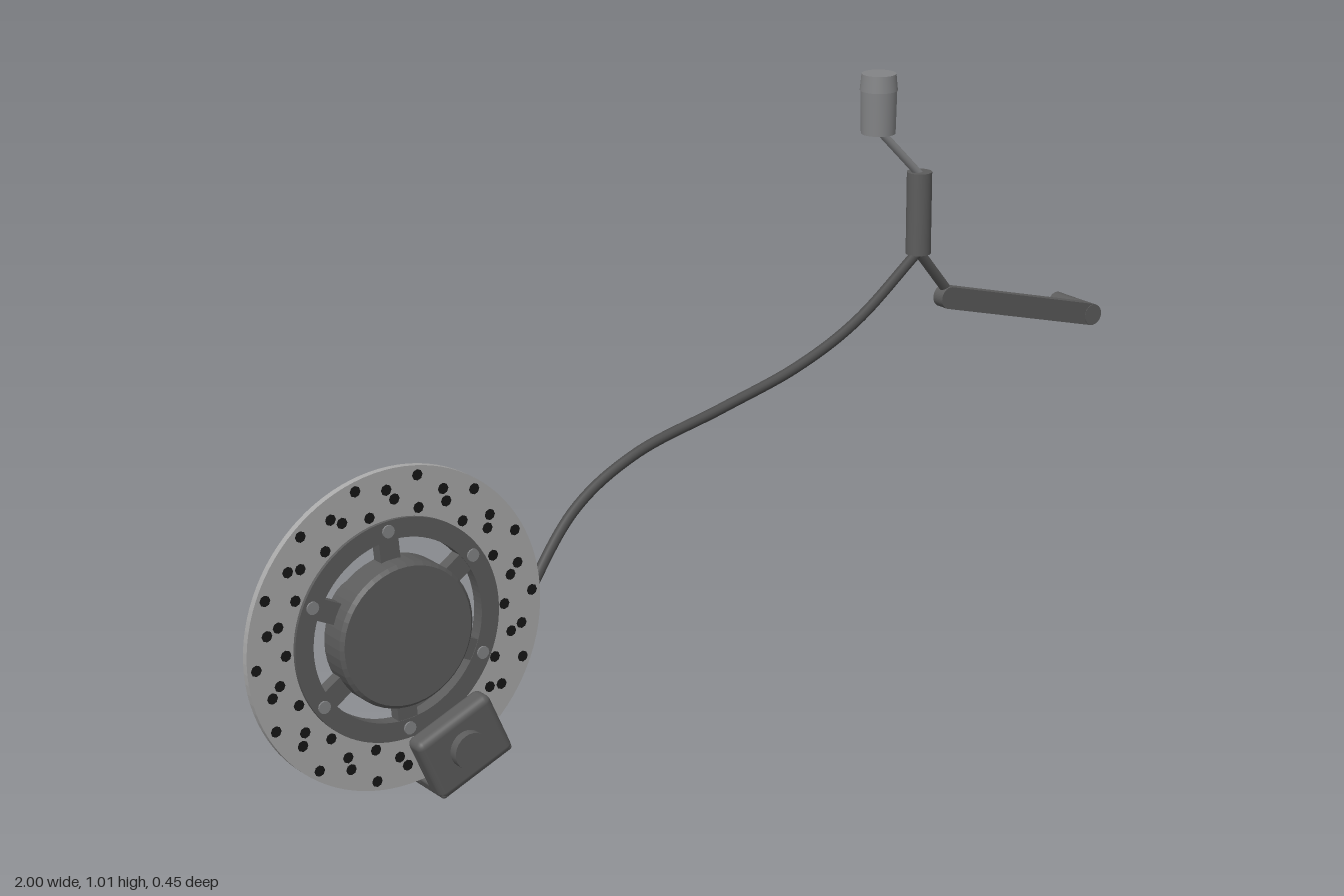
import * as THREE from 'three';
import { RoundedBoxGeometry } from 'three/addons/geometries/RoundedBoxGeometry.js';

const mat = (name, color) => {
  const m = new THREE.MeshStandardMaterial({ color });
  m.name = name;
  return m;
};
const V = (x, y, z) => new THREE.Vector3(x, y, z);

export function createModel() {
  const rotorGrey = mat('rotorGrey', 0xa9a9a9);
  const darkMetal = mat('darkMetal', 0x5c5c5c);
  const rubber = mat('rubber', 0x4c4c4c);
  const reservoirGrey = mat('reservoirGrey', 0x838486);
  const holeBlack = mat('holeBlack', 0x161616);

  const model = new THREE.Group();
  model.name = 'discBrake';

  const add = (parent, name, geo, material, x = 0, y = 0, z = 0) => {
    const m = new THREE.Mesh(geo, material);
    m.name = name;
    m.position.set(x, y, z);
    parent.add(m);
    return m;
  };

  // Cylinder lying along z
  const discGeo = (r, depth, seg = 40) =>
    new THREE.CylinderGeometry(r, r, depth, seg).rotateX(Math.PI / 2);

  // Flat annulus centred on z = 0
  const annulus = (outer, inner, depth) => {
    const s = new THREE.Shape().absarc(0, 0, outer, 0, Math.PI * 2, false);
    s.holes.push(new THREE.Path().absarc(0, 0, inner, 0, Math.PI * 2, true));
    return new THREE.ExtrudeGeometry(s, { depth, bevelEnabled: false, curveSegments: 48 })
      .translate(0, 0, -depth / 2);
  };

  // Flat bar with round ends, running between two points and facing +z
  const bar = (name, a, b, width, depth, material) => {
    const dir = b.clone().sub(a), len = dir.length(), r = width / 2;
    const s = new THREE.Shape();
    s.absarc(len, 0, r, -Math.PI / 2, Math.PI / 2, false);
    s.absarc(0, 0, r, Math.PI / 2, Math.PI * 1.5, false);
    s.closePath();
    const geo = new THREE.ExtrudeGeometry(s, { depth, bevelEnabled: false, curveSegments: 12 })
      .translate(0, 0, -depth / 2);
    const xAxis = dir.normalize();
    const yAxis = V(0, 0, 1).cross(xAxis).normalize();
    const zAxis = xAxis.clone().cross(yAxis);
    const m = add(model, name, geo, material, a.x, a.y, a.z);
    m.quaternion.setFromRotationMatrix(new THREE.Matrix4().makeBasis(xAxis, yAxis, zAxis));
    return m;
  };

  const tube = (name, points, radius, material, seg = 8) =>
    add(model, name, new THREE.TubeGeometry(new THREE.CatmullRomCurve3(points), seg, radius, 12), material);

  // Rotor with drilled holes in swept rows
  const rotor = new THREE.Group();
  rotor.name = 'rotor';
  rotor.position.set(-0.727, 0.295, 0.157);
  model.add(rotor);
  add(rotor, 'rotorDisc', annulus(0.274, 0.165, 0.012), rotorGrey);
  const rows = 14;
  for (let i = 0; i < rows; i++) {
    for (let j = 0; j < 4; j++) {
      const a = (i / rows) * Math.PI * 2 + j * 0.14 + (j % 2) * 0.08;
      const r = 0.204 + j * 0.018;
      add(rotor, 'drillHole', discGeo(0.0095, 0.014, 8), holeBlack, Math.cos(a) * r, Math.sin(a) * r, 0);
    }
  }

  // Carrier ring, spokes, rivets and hub
  add(rotor, 'carrierRing', annulus(0.19, 0.157, 0.024), darkMetal);
  for (let i = 0; i < 6; i++) {
    const a = (i / 6) * Math.PI * 2 + 1.66;
    const spoke = add(rotor, 'carrierSpoke', new THREE.BoxGeometry(0.06, 0.036, 0.022), darkMetal,
      Math.cos(a) * 0.138, Math.sin(a) * 0.138, 0);
    spoke.rotation.z = a;
    add(rotor, 'carrierRivet', discGeo(0.011, 0.03, 12), reservoirGrey,
      Math.cos(a) * 0.173, Math.sin(a) * 0.173, 0);
  }
  const hubProfile = [[0, -0.012], [0.124, -0.012], [0.124, 0.036], [0.118, 0.042], [0, 0.042]]
    .map(([r, h]) => new THREE.Vector2(r, h));
  const hubGeo = new THREE.LatheGeometry(hubProfile, 48).rotateX(Math.PI / 2).toNonIndexed();
  hubGeo.computeVertexNormals();
  add(rotor, 'hub', hubGeo, darkMetal);

  // Caliper: two halves straddling the rotor, joined by a bridge
  const caliper = new THREE.Group();
  caliper.name = 'caliper';
  caliper.position.set(-0.628, 0.08, 0.157);
  caliper.rotation.z = 0.42;
  model.add(caliper);
  for (const side of [-1, 1]) {
    add(caliper, 'caliperHalf', new RoundedBoxGeometry(0.152, 0.118, 0.043, 3, 0.013), darkMetal, 0, 0, side * 0.031);
  }
  add(caliper, 'caliperBridge', new RoundedBoxGeometry(0.148, 0.022, 0.1, 2, 0.006), darkMetal, 0, -0.047, 0);
  add(caliper, 'pistonCap', discGeo(0.032, 0.02, 24), darkMetal, 0, 0, 0.059);

  // Swing arm and its pivot behind the rotor
  add(model, 'armPivot', discGeo(0.059, 0.048, 32), darkMetal, -0.727, 0.293, 0.068);
  bar('swingArm', V(-0.727, 0.293, 0.068), V(-0.615, 0.1, 0.092), 0.088, 0.034, darkMetal);

  // Stay bar beside the rotor
  bar('stayBar', V(-0.435, 0.325, 0.048), V(-0.58, 0.075, 0.092), 0.04, 0.018, darkMetal);

  // Main brake hose
  tube('brakeHose', [
    V(-0.6, 0.05, 0.098), V(-0.537, 0.1, 0.088), V(-0.42, 0.215, 0.042), V(-0.26, 0.352, -0.025),
    V(-0.126, 0.42, -0.041), V(0.06, 0.47, -0.041), V(0.22, 0.518, -0.037),
    V(0.355, 0.575, -0.046), V(0.527, 0.672, -0.083),
  ], 0.0095, rubber, 80);

  // Master cylinder with its two short pipes
  add(model, 'masterCylinder', new THREE.CylinderGeometry(0.023, 0.023, 0.152, 24), darkMetal, 0.526, 0.744, -0.083);
  tube('reservoirPipe', [V(0.526, 0.815, -0.083), V(0.437, 0.908, -0.09)], 0.0075, reservoirGrey);
  tube('pedalRod', [V(0.526, 0.672, -0.083), V(0.607, 0.585, -0.104)], 0.0095, darkMetal);

  // Fluid reservoir and cap
  add(model, 'reservoir', new THREE.CylinderGeometry(0.033, 0.031, 0.085, 28), reservoirGrey, 0.436, 0.945, -0.09);
  add(model, 'reservoirCap', new THREE.CylinderGeometry(0.031, 0.034, 0.03, 28), reservoirGrey, 0.436, 0.996, -0.09);

  // Pedal lever and foot peg
  bar('pedalLever', V(0.61, 0.567, -0.104), V(0.978, 0.467, -0.13), 0.041, 0.024, darkMetal);
  add(model, 'footPeg', discGeo(0.02, 0.108, 24), darkMetal, 0.979, 0.467, -0.17);

  return model;
}
